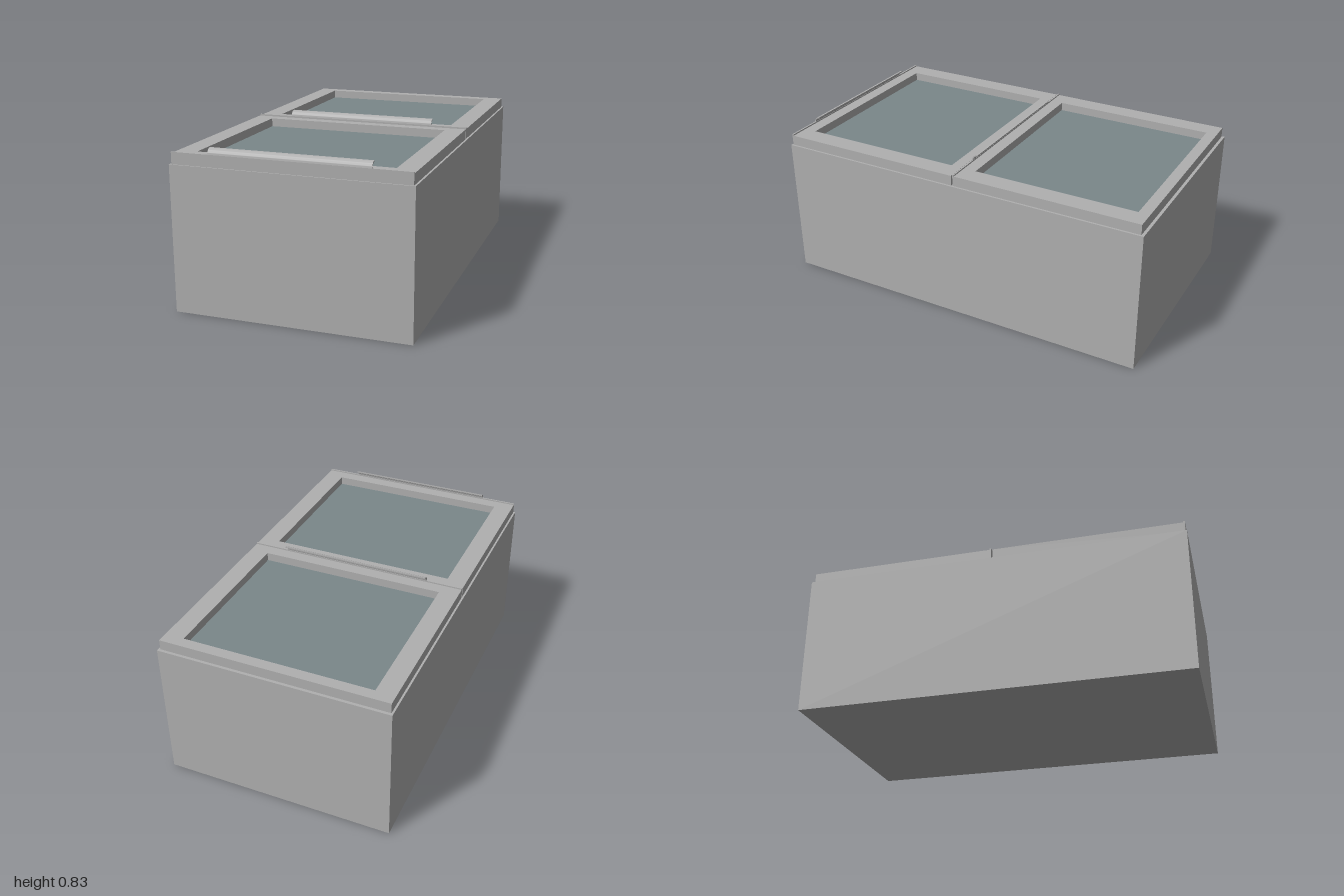
import * as THREE from 'three';
import { toCreasedNormals } from 'three/addons/utils/BufferGeometryUtils.js';

const BODY_TOP = 0.74, LID_TOP = 0.793, HALF_W = 0.59, LID_LEN = 0.985;

export function createModel() {
  const casing = new THREE.MeshStandardMaterial({ color: 0xb0b0b0 });
  casing.name = 'greyCasing';
  const glass = new THREE.MeshStandardMaterial({ color: 0x7a878a });
  glass.name = 'tintedGlass';

  const model = new THREE.Group();
  model.name = 'chestFreezer';

  function add(parent, name, geometry, material, x = 0, y = 0, z = 0) {
    const mesh = new THREE.Mesh(geometry, material);
    mesh.name = name;
    mesh.position.set(x, y, z);
    parent.add(mesh);
  }

  function rect(Type, x0, y0, x1, y1) {
    const r = new Type();
    r.moveTo(x0, y0);
    r.lineTo(x1, y0);
    r.lineTo(x1, y1);
    r.lineTo(x0, y1);
    r.closePath();
    return r;
  }

  // Main cabinet
  add(model, 'cabinet', new THREE.BoxGeometry(1.2, BODY_TOP, 2), casing, 0, BODY_TOP / 2, 0);

  // Lid frame with a window opening, measured back from the front edge
  const frameShape = rect(THREE.Shape, -HALF_W, 0, HALF_W, LID_LEN - 0.008);
  frameShape.holes.push(rect(THREE.Path, -0.49, 0.065, 0.49, 0.92));
  const frameGeo = new THREE.ExtrudeGeometry(frameShape, { depth: LID_TOP - BODY_TOP, bevelEnabled: false });
  frameGeo.rotateX(-Math.PI / 2);

  // Curled grip: a thin quarter arc sweeping up and back
  const R = 0.032, T = 0.006;
  const grip = new THREE.Shape();
  grip.absarc(-R, 0, R, 0, Math.PI / 2, false);
  grip.absarc(-R, 0, R - T, Math.PI / 2, 0, true);
  grip.closePath();
  let gripGeo = new THREE.ExtrudeGeometry(grip, { depth: 0.8, bevelEnabled: false, curveSegments: 10 });
  gripGeo.translate(0, 0, -0.4);
  gripGeo.rotateY(-Math.PI / 2);
  gripGeo = toCreasedNormals(gripGeo, 0.6);

  // Two lids, each with a frame, sunken pane, front strip and grip
  [['frontLid', 0.993], ['rearLid', 0]].forEach(([name, frontZ]) => {
    const lid = new THREE.Group();
    lid.name = name;
    lid.position.z = frontZ;
    add(lid, 'lidFrame', frameGeo, casing, 0, BODY_TOP, -0.008);
    add(lid, 'glassPane', new THREE.BoxGeometry(0.98, 0.008, 0.855), glass, 0, BODY_TOP + 0.005, -0.5005);
    add(lid, 'frontStrip', new THREE.BoxGeometry(HALF_W * 2, 0.06, 0.008), casing, 0, BODY_TOP + 0.03, -0.004);
    add(lid, 'grip', gripGeo, casing, 0, 0.798, 0);
    model.add(lid);
  });

  return model;
}
